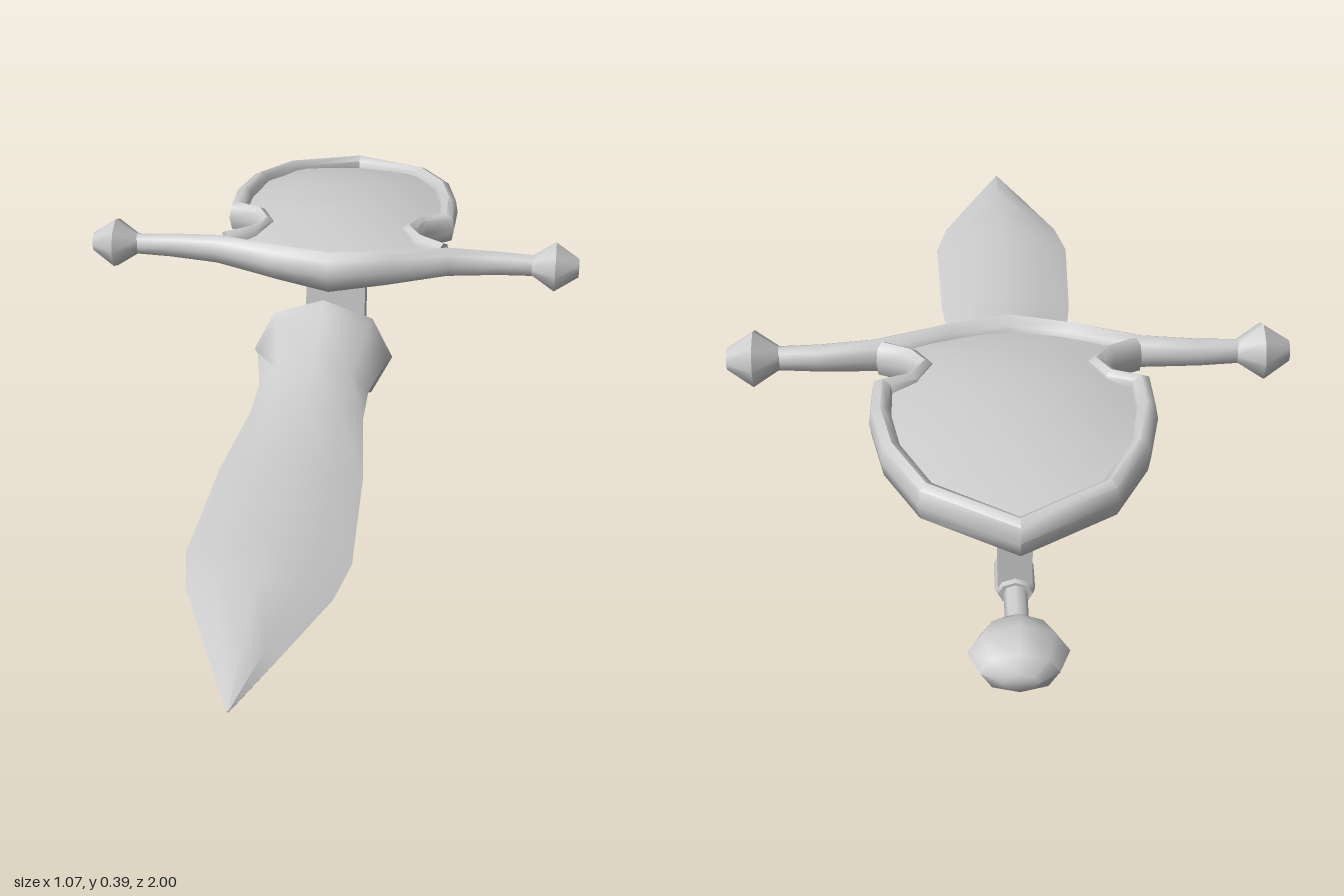
import * as THREE from 'three';
import { toCreasedNormals } from 'three/addons/utils/BufferGeometryUtils.js';

const material = new THREE.MeshStandardMaterial({ color: 0xcccccc, side: THREE.DoubleSide });
const SIDES = 8;

// Closed sweep with capped ends. Station: [x, y, z, halfWidth, halfHeight, diagonal pull].
function sweep(stations) {
  const pos = [], index = [], n = stations.length;
  stations.forEach(([x, y, z, hw, hh, pull = 1], i) => {
    const a = stations[Math.max(i - 1, 0)], b = stations[Math.min(i + 1, n - 1)];
    const side = new THREE.Vector2(b[2] - a[2], a[0] - b[0]).normalize();
    for (let j = 0; j < SIDES; j++) {
      const t = (j / SIDES) * Math.PI * 2, k = j % 2 ? pull : 1;
      const w = Math.cos(t) * hw * k;
      pos.push(x + side.x * w, y + Math.sin(t) * hh * k, z + side.y * w);
      if (i < n - 1) {
        const p = i * SIDES + j, q = i * SIDES + (j + 1) % SIDES;
        index.push(p, q, p + SIDES, q, q + SIDES, p + SIDES);
      }
    }
  });
  const start = n * SIDES, last = (n - 1) * SIDES;
  pos.push(...stations[0].slice(0, 3), ...stations[n - 1].slice(0, 3));
  for (let j = 0; j < SIDES; j++) {
    const next = (j + 1) % SIDES;
    index.push(start, next, j, start + 1, last + j, last + next);
  }
  return build(pos, index);
}

function build(pos, index) {
  const g = new THREE.BufferGeometry();
  g.setAttribute('position', new THREE.Float32BufferAttribute(pos, 3));
  g.setIndex(index);
  return toCreasedNormals(g, 1.0);
}

// Mirrors stations over x = 0; the last one lies on the centre line.
const mirrored = (half) => [
  ...half,
  ...half.slice(0, -1).reverse().map(([x, ...rest]) => [-x, ...rest]),
];

// Height of the shield's arched edge along z
const edgeHeight = (z) => 0.347 - 0.24 * (z + 0.46) ** 2;

// Domed plate built from rows of [z, halfWidth], back to front
function shieldPlate() {
  const rows = [[-0.845, 0.003], [-0.76, 0.15], [-0.65, 0.215], [-0.55, 0.23], [-0.46, 0.235],
    [-0.43, 0.18], [-0.38, 0.155], [-0.33, 0.18], [-0.285, 0.22], [-0.25, 0.13], [-0.21, 0.003]];
  const cols = 8, pos = [], index = [];
  rows.forEach(([z, w], i) => {
    const rise = 0.045 * Math.max(0, 1 - ((z + 0.5) / 0.36) ** 2);
    for (let j = 0; j <= cols; j++) {
      const u = (j / cols) * 2 - 1;
      pos.push(u * w, edgeHeight(z) + rise * (1 - (u * w / 0.25) ** 2), z);
      if (i < rows.length - 1 && j < cols) {
        const p = i * (cols + 1) + j, q = p + cols + 1;
        index.push(p, q, p + 1, p + 1, q, q + 1);
      }
    }
  });
  return build(pos, index);
}

export function createModel() {
  const group = new THREE.Group();
  const add = (name, geometry) => {
    const mesh = new THREE.Mesh(geometry, material);
    mesh.name = name;
    group.add(mesh);
    return mesh;
  };
  // Sweep along z at the handle's height, from [z, halfWidth, halfHeight, pull]
  const alongZ = (name, x, list) =>
    add(name, sweep(list.map(([z, ...size]) => [x, 0.134, z, ...size])));

  // Blade flaring into an octagonal guard
  alongZ('blade', -0.012, [
    [-0.22, 0.153, 0.13], [-0.2, 0.143, 0.118], [-0.06, 0.117, 0.062, 0.95],
    [0.06, 0.118, 0.036, 0.85], [0.28, 0.142, 0.031, 0.84], [0.57, 0.153, 0.038, 0.84],
    [0.68, 0.132, 0.041, 0.84], [0.85, 0.064, 0.021, 0.84], [1, 0.002, 0.002],
  ]);

  // Handle rod, collars and pommel
  alongZ('handleRod', 0.005, [[-0.87, 0.02, 0.017], [-0.38, 0.024, 0.022], [-0.22, 0.034, 0.034]]);
  alongZ('frontCollar', 0.005, [
    [-0.38, 0.055, 0.043], [-0.365, 0.06, 0.048], [-0.26, 0.064, 0.053], [-0.245, 0.055, 0.046],
  ]);
  alongZ('rearCollar', 0.005, [
    [-0.765, 0.03, 0.023], [-0.75, 0.035, 0.027], [-0.68, 0.035, 0.027], [-0.665, 0.03, 0.023],
  ]);
  alongZ('pommel', 0.005, [
    [-1, 0.03, 0.016], [-0.975, 0.065, 0.04], [-0.92, 0.085, 0.053],
    [-0.87, 0.06, 0.035], [-0.84, 0.022, 0.016],
  ]);

  // Posts carrying the shield
  const frontPost = add('frontPost', new THREE.BoxGeometry(0.13, 0.17, 0.046));
  frontPost.position.set(0.008, 0.245, -0.3);
  frontPost.rotation.x = -0.12;
  const rearPost = add('rearPost', new THREE.BoxGeometry(0.06, 0.2, 0.033));
  rearPost.position.set(0.005, 0.24, -0.735);
  rearPost.rotation.x = 0.05;

  // Shield: domed plate with a notched rim
  add('shieldPlate', shieldPlate());
  const rimHalf = [
    [0.24, -0.302, 0.02], [0.185, -0.335, 0.018], [0.158, -0.38, 0.018], [0.182, -0.428, 0.018],
    [0.235, -0.45, 0.022], [0.236, -0.54, 0.021], [0.214, -0.65, 0.02],
    [0.155, -0.757, 0.02], [0, -0.845, 0.022],
  ].map(([x, z, hw]) => [x, edgeHeight(z), z, hw, 0.036, 1.08]);
  add('shieldRim', sweep(mirrored(rimHalf)));

  // Crossguard with a faceted knob on each arm
  add('crossguard', sweep(mirrored([
    [-0.445, 0.34, -0.293, 0.022, 0.024], [-0.36, 0.34, -0.295, 0.024, 0.028],
    [-0.25, 0.34, -0.288, 0.027, 0.034], [-0.12, 0.339, -0.242, 0.028, 0.041],
    [0, 0.336, -0.211, 0.028, 0.047],
  ])));
  for (const s of [-1, 1]) {
    const knob = [[0.432, 0.022], [0.482, 0.056], [0.533, 0.021]];
    if (s < 0) knob.reverse();
    add(s > 0 ? 'leftKnob' : 'rightKnob',
      sweep(knob.map(([x, r]) => [s * x, 0.34, -0.293, r, r])));
  }
  return group;
}
